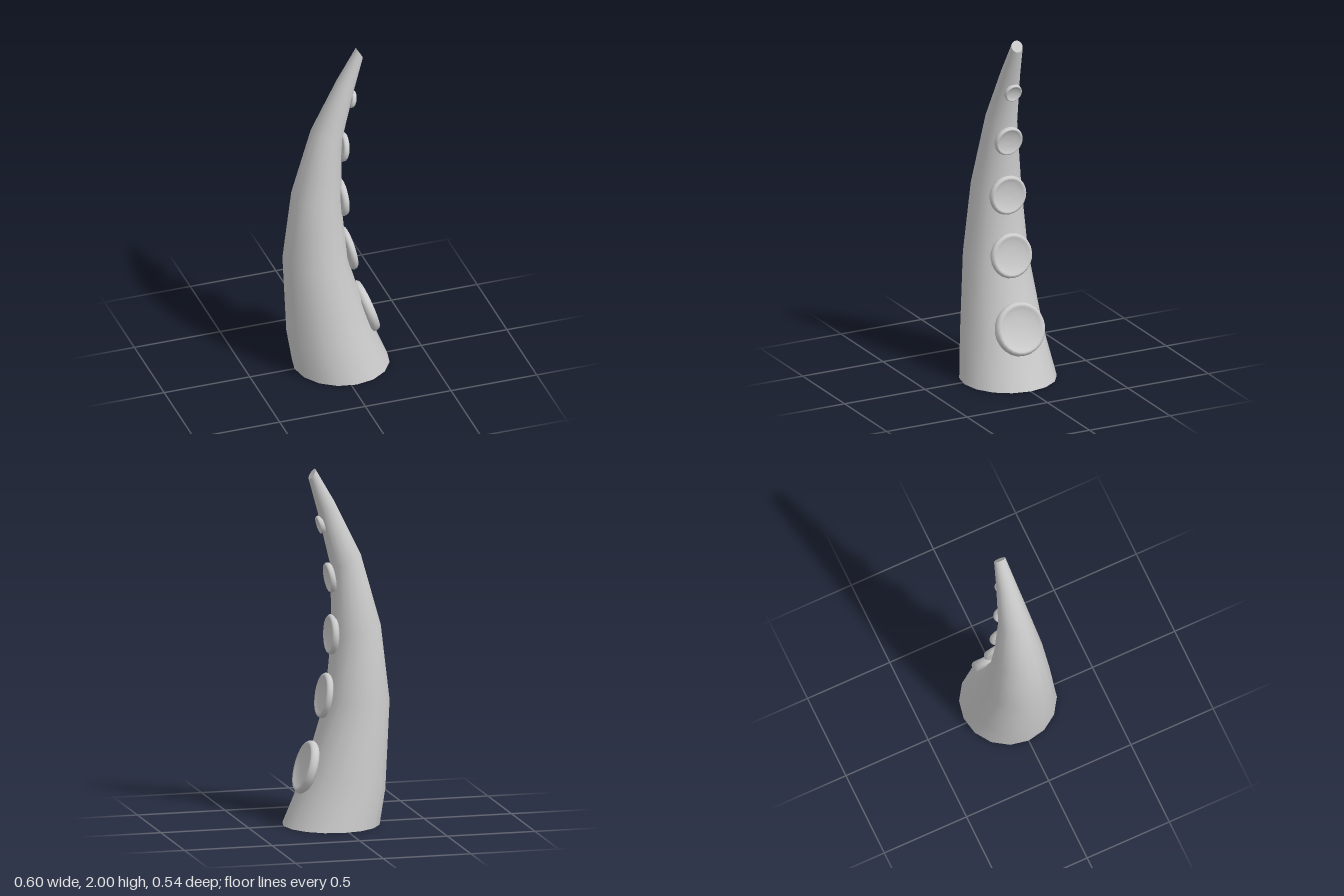
import * as THREE from 'three';
import { mergeVertices } from 'three/addons/utils/BufferGeometryUtils.js';

const SIDES = 16;

// Cross-sections from base to tip: centre x, centre y, radius, tilt about z
const RINGS = [
  [0.03, 0, 0.27, 0],
  [-0.05, 0.25, 0.23, 0.227],
  [-0.12, 0.69, 0.18, -0.02],
  [-0.113, 1.09, 0.14, -0.2],
  [-0.054, 1.478, 0.091, -0.36],
  [0.058, 1.785, 0.055, -0.49],
  [0.138, 1.972, 0.034, -1.0],
];

// Suckers: centre x, centre y, radius, half thickness, tilt about z
const SUCKERS = [
  [0.172, 0.325, 0.152, 0.027, 0.3],
  [0.07, 0.723, 0.127, 0.02, 0.18],
  [0.028, 1.065, 0.112, 0.02, 0.05],
  [0.037, 1.385, 0.085, 0.017, -0.14],
  [0.09, 1.685, 0.052, 0.014, -0.26],
];

const grey = new THREE.MeshStandardMaterial({ color: 0xcccccc, side: THREE.DoubleSide });

function makeArm() {
  // Open cylinder whose rows are moved onto the tilted cross-sections
  const rows = RINGS.length - 1;
  let geo = new THREE.CylinderGeometry(1, 1, rows, SIDES, rows, true);
  geo.deleteAttribute('uv');
  geo.deleteAttribute('normal');
  const pos = geo.attributes.position;
  for (let i = 0; i < pos.count; i++) {
    const [cx, cy, r, a] = RINGS[Math.round(pos.getY(i) + rows / 2)];
    const u = pos.getX(i) * r;
    pos.setXYZ(i, cx + u * Math.cos(a), cy + u * Math.sin(a), pos.getZ(i) * r);
  }
  geo = mergeVertices(geo, 1e-4);
  geo.computeVertexNormals();
  const arm = new THREE.Mesh(geo, grey);
  arm.name = 'arm';
  return arm;
}

function makeTip() {
  // Flat disc closing the narrow end
  const [x, y, r, a] = RINGS[RINGS.length - 1];
  const geo = new THREE.CircleGeometry(r, SIDES).rotateX(-Math.PI / 2);
  const tip = new THREE.Mesh(geo, grey);
  tip.position.set(x, y, 0);
  tip.rotation.z = a;
  tip.name = 'tipCap';
  return tip;
}

function makeSucker([x, y, r, h, tilt], i) {
  // Rounded rim around a shallow bowl
  const profile = [
    [0, -1], [0.88, -1], [0.97, -0.6], [1, 0], [0.97, 0.6], [0.91, 0.95],
    [0.86, 1], [0.8, 0.85], [0.65, 0.5], [0.35, 0.2], [0, 0.12],
  ].map(([u, v]) => new THREE.Vector2(u * r, v * h));
  const sucker = new THREE.Mesh(new THREE.LatheGeometry(profile, 24), grey);
  sucker.position.set(x, y, 0);
  sucker.rotation.z = tilt - Math.PI / 2;
  sucker.name = 'sucker' + (i + 1);
  return sucker;
}

export function createModel() {
  const model = new THREE.Group();
  model.name = 'tentacle';
  model.add(makeArm(), makeTip(), ...SUCKERS.map(makeSucker));
  return model;
}
